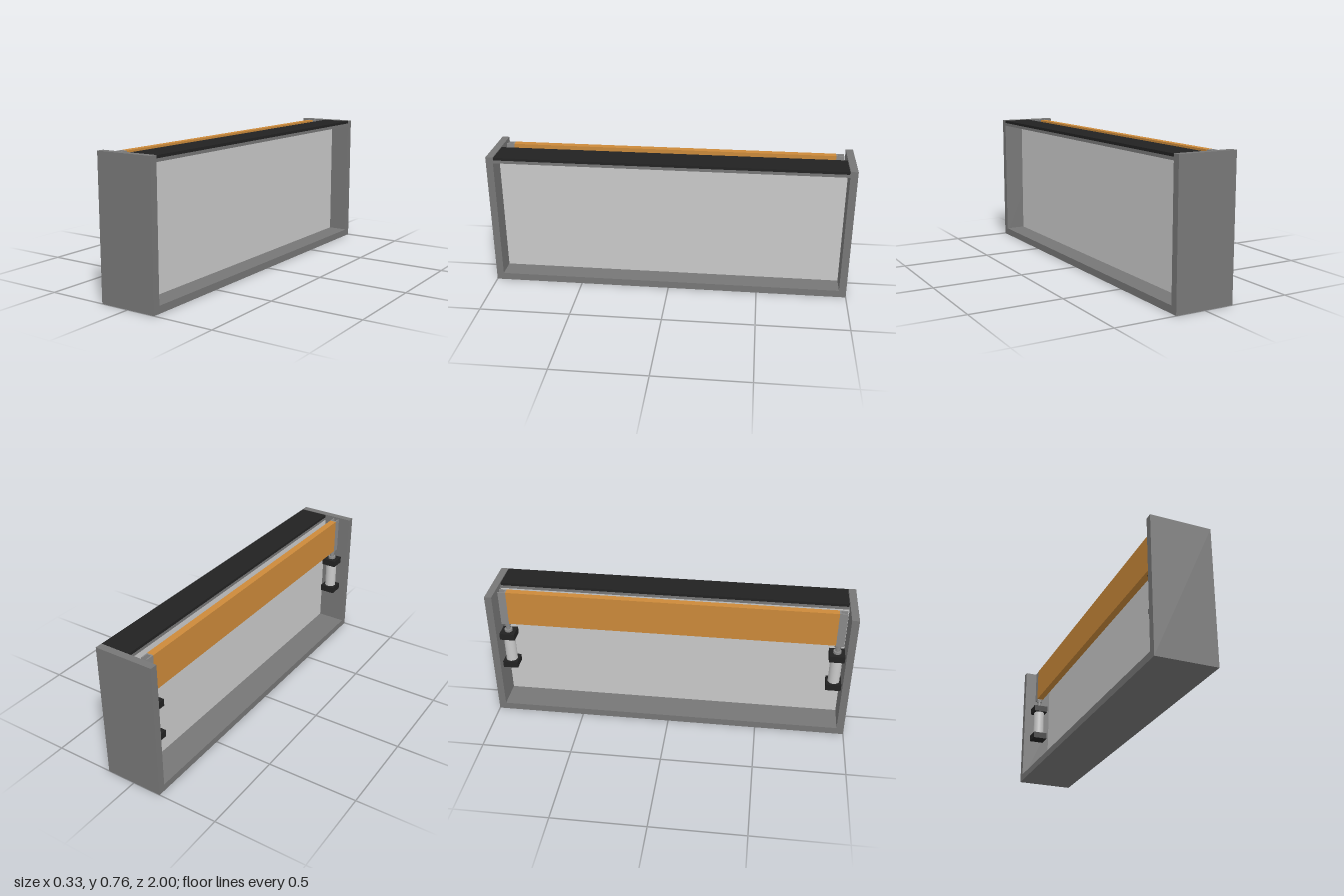
import * as THREE from 'three';

const mat = (name, color) => {
  const m = new THREE.MeshStandardMaterial({ color });
  m.name = name;
  return m;
};

export function createModel() {
  const frameGrey = mat('frame grey', 0x777777);
  const panelGrey = mat('light panel grey', 0xcacaca);
  const black = mat('black', 0x222222);
  const wood = mat('orange wood', 0xcc8a3a);
  const steel = mat('steel grey', 0x8a8a8a);

  const model = new THREE.Group();
  model.name = 'liftCabinet';

  const add = (parent, name, geometry, material) => {
    const mesh = new THREE.Mesh(geometry, material);
    mesh.name = name;
    parent.add(mesh);
    return mesh;
  };
  // Box given by its minimum and maximum on each axis
  const box = (parent, name, material, [x0, x1], [y0, y1], [z0, z1]) => {
    const mesh = add(parent, name, new THREE.BoxGeometry(x1 - x0, y1 - y0, z1 - z0), material);
    mesh.position.set((x0 + x1) / 2, (y0 + y1) / 2, (z0 + z1) / 2);
    return mesh;
  };
  // Upright cylinder between two heights
  const post = (parent, name, material, r, y0, y1, sides = 32) => {
    const mesh = add(parent, name, new THREE.CylinderGeometry(r, r, y1 - y0, sides), material);
    mesh.position.y = (y0 + y1) / 2;
    return mesh;
  };

  const H = 0.758, W = 0.165, inner = 0.96;

  // Frame: two end walls, floor and the half-width top shelf
  box(model, 'frontEndWall', frameGrey, [-W, W], [0, H], [inner, 1]);
  box(model, 'backEndWall', frameGrey, [-W, W], [0, H], [-1, -inner]);
  box(model, 'floor', frameGrey, [-W, W], [0, 0.04], [-inner, inner]);
  box(model, 'topShelf', frameGrey, [0, W], [0.725, 0.742], [-inner, inner]);
  box(model, 'topCover', black, [0, W], [0.742, H - 0.001], [-0.957, 0.957]);

  // Dividing panel between the two open sides
  box(model, 'dividingPanel', panelGrey, [0, 0.05], [0.04, 0.725], [-inner, inner]);

  // Lifting board
  const bx = -0.082;
  box(model, 'liftingBoard', wood, [bx - 0.019, bx + 0.019], [0.555, 0.755], [-0.902, 0.902]);

  // Lifting cylinder with channel bracket at each end
  for (const side of [1, -1]) {
    const lift = new THREE.Group();
    lift.name = side > 0 ? 'frontLift' : 'backLift';
    lift.position.set(bx, 0, side * 0.916);
    lift.rotation.y = side > 0 ? 0 : Math.PI;
    model.add(lift);

    box(lift, 'lowerMount', black, [-0.043, 0.043], [0.272, 0.31], [-0.042, 0.042]);
    box(lift, 'upperMount', black, [-0.043, 0.043], [0.46, 0.498], [-0.042, 0.042]);
    post(lift, 'cylinderBody', panelGrey, 0.032, 0.31, 0.46);
    post(lift, 'collar', steel, 0.022, 0.498, 0.512);
    post(lift, 'pistonRod', steel, 0.012, 0.512, 0.57, 24);
    post(lift, 'rodNut', steel, 0.018, 0.535, 0.55, 6);

    // Channel bracket fixed to the board end
    box(lift, 'bracketWeb', steel, [-0.018, 0.018], [0.555, 0.755], [-0.014, -0.006]);
    for (const s of [-1, 1]) {
      const x = [s * 0.012, s * 0.018].sort((a, b) => a - b);
      box(lift, 'bracketCheek', steel, x, [0.555, 0.755], [-0.006, 0.03]);
    }
    box(lift, 'bracketFoot', steel, [-0.018, 0.018], [0.55, 0.558], [-0.014, 0.03]);
  }

  return model;
}
